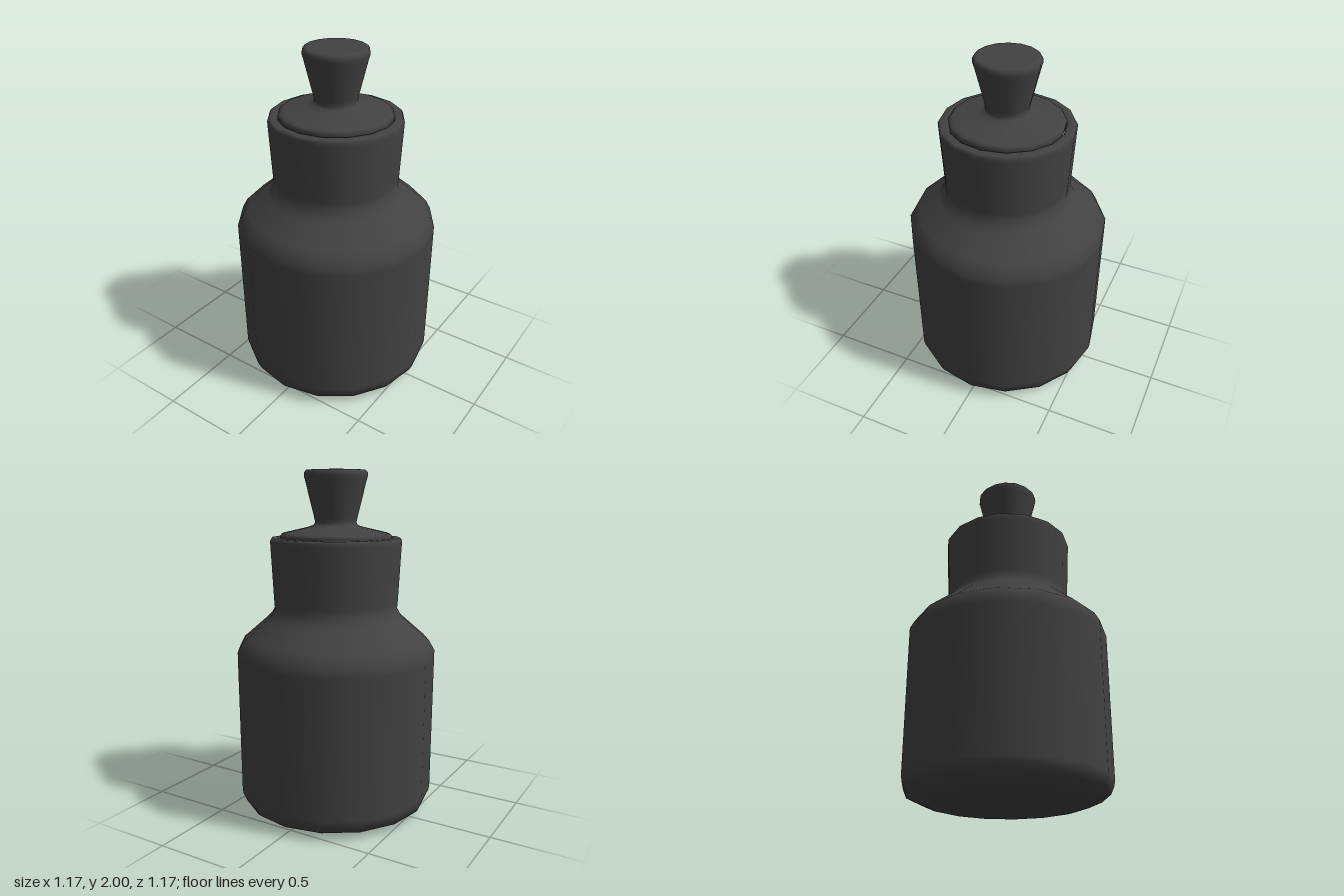
import * as THREE from 'three';

const SIDES = 16;

// Turns a list of [radius, height] pairs, bottom to top, into a smooth lathed mesh
function turned(name, profile, material) {
  const points = profile.map(([r, y]) => new THREE.Vector2(r, y));
  const mesh = new THREE.Mesh(new THREE.LatheGeometry(points, SIDES), material);
  mesh.name = name;
  return mesh;
}

export function createModel() {
  const group = new THREE.Group();
  group.name = 'stopperedBottle';
  const darkGlass = new THREE.MeshStandardMaterial({ color: 0x424242 });
  darkGlass.name = 'darkGlass';

  // Body with chamfered base, sloping shoulder, flared neck and rolled lip
  group.add(turned('bottle', [
    [0, 0], [0.44, 0], [0.47, 0.008], [0.555, 0.045], [0.575, 0.09], [0.58, 0.12],
    [0.585, 0.93], [0.585, 0.97], [0.555, 1.025], [0.525, 1.05],
    [0.41, 1.15], [0.385, 1.175], [0.362, 1.215], [0.365, 1.25],
    [0.382, 1.58], [0.383, 1.605], [0.375, 1.62], [0.335, 1.62], [0.325, 1.61], [0.315, 1.55],
  ], darkGlass));

  // Stopper: plug in the neck, low cone and flared knob
  group.add(turned('stopper', [
    [0, 1.55], [0.3, 1.55], [0.32, 1.6], [0.326, 1.63], [0.315, 1.643], [0.29, 1.65],
    [0.16, 1.68], [0.13, 1.69], [0.12, 1.705], [0.125, 1.73],
    [0.178, 1.945], [0.184, 1.965], [0.183, 1.985], [0.172, 1.998], [0.155, 2], [0, 2],
  ], darkGlass));

  return group;
}
